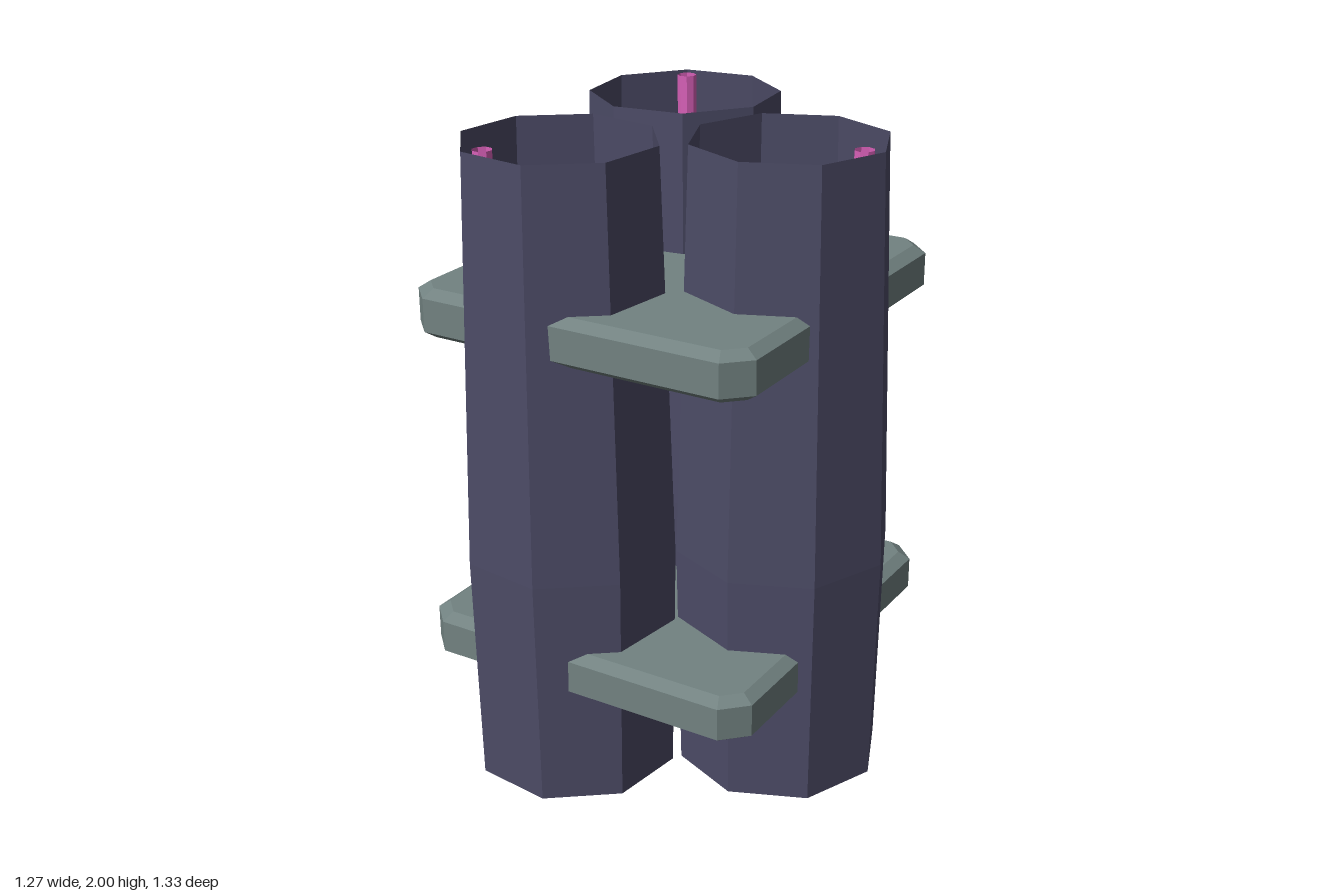
import * as THREE from 'three';

const tubeMat = new THREE.MeshStandardMaterial({ color: 0x4c4b66, flatShading: true, side: THREE.DoubleSide });
tubeMat.name = 'dark violet';
const plateMat = new THREE.MeshStandardMaterial({ color: 0x728281, flatShading: true });
plateMat.name = 'grey green';
const rodMat = new THREE.MeshStandardMaterial({ color: 0xd860b8, flatShading: true, side: THREE.DoubleSide });
rodMat.name = 'pink';

function add(parent, name, geometry, material) {
  const mesh = new THREE.Mesh(geometry, material);
  mesh.name = name;
  parent.add(mesh);
  return mesh;
}

// Bevelled slab with cut corners, lying flat
function plateGeometry() {
  const w = 0.567, d = 0.602, cut = 0.073, height = 0.15, bevel = 0.024;
  const shape = new THREE.Shape([
    [w - cut, -d], [w, cut - d], [w, d - cut], [w - cut, d],
    [cut - w, d], [-w, d - cut], [-w, cut - d], [cut - w, -d],
  ].map(([x, y]) => new THREE.Vector2(x, y)));
  const geometry = new THREE.ExtrudeGeometry(shape, {
    depth: height - 2 * bevel, bevelEnabled: true, bevelSegments: 1,
    bevelThickness: bevel, bevelSize: 0.035, bevelOffset: -0.035,
  });
  geometry.center();
  return geometry.rotateX(-Math.PI / 2);
}

export function createModel() {
  const model = new THREE.Group();
  model.name = 'tubeBundle';

  // Open octagonal tubes, each with a thin rod along its outer side
  const profile = [[0.323, 0], [0.336, 0.74], [0.296, 2]].map(([r, y]) => new THREE.Vector2(r, y));
  const tubeGeo = new THREE.LatheGeometry(profile, 8);
  const rodGeo = new THREE.CylinderGeometry(0.03, 0.03, 1.996, 8, 1, true);
  const third = (2 * Math.PI) / 3;
  for (const [x, z, turn] of [[0.3, 0, 0], [-0.255, 0.34, -third], [-0.255, -0.34, third]]) {
    const unit = new THREE.Group();
    unit.name = 'tubeUnit';
    add(unit, 'tube', tubeGeo, tubeMat);
    add(unit, 'rod', rodGeo, rodMat).position.set(0.232, 1, 0);
    unit.position.set(x, 0, z);
    unit.rotation.y = turn;
    model.add(unit);
  }

  // Two plates holding the tubes together
  const plateGeo = plateGeometry();
  for (const y of [0.435, 1.496]) add(model, 'plate', plateGeo, plateMat).position.set(-0.071, y, 0);

  return model;
}
